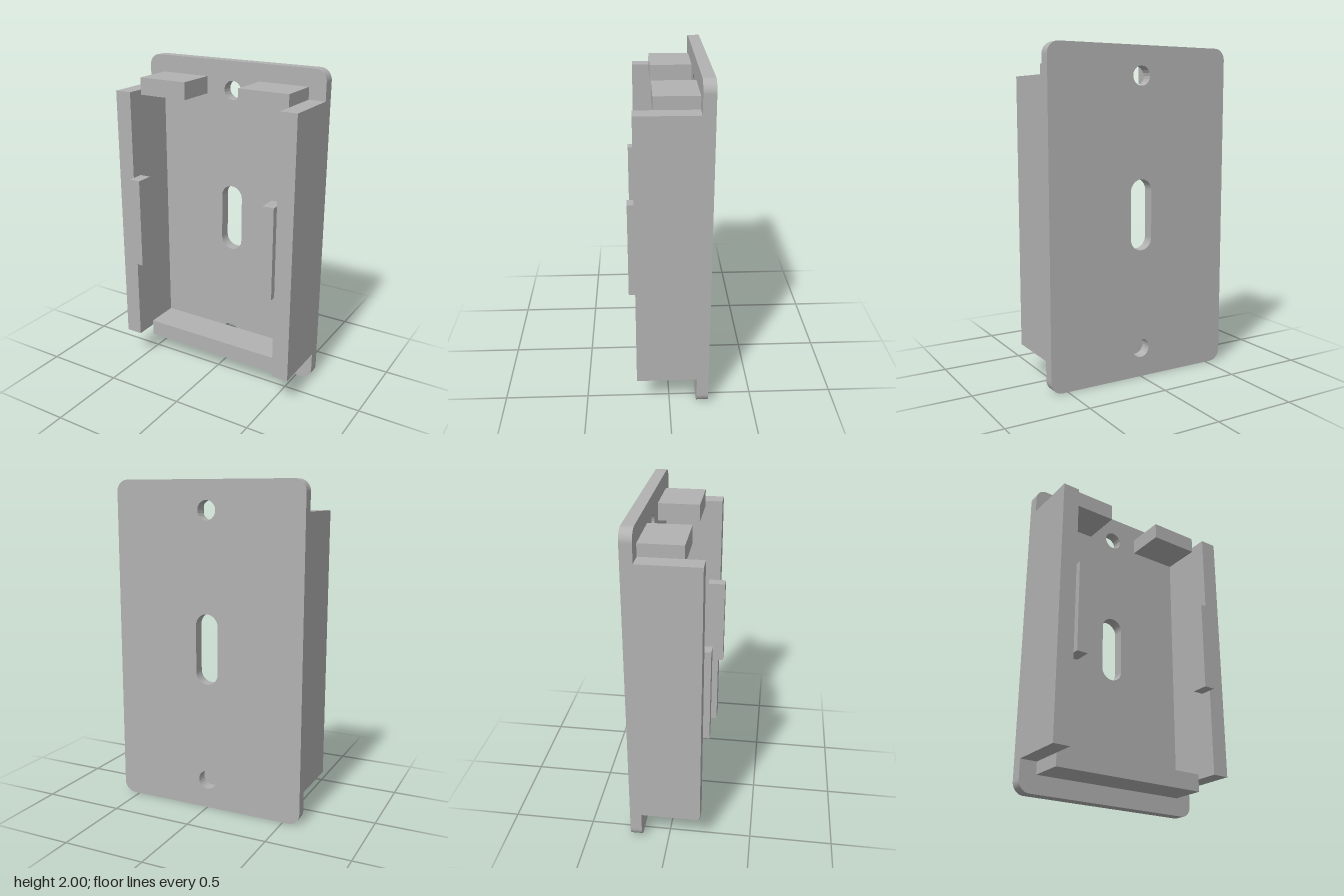
import * as THREE from 'three';

const BACK = -0.233, FACE = -0.163; // back and front of the plate in z
const HALF_W = 0.605, INNER = 0.5;

export function createModel() {
  const group = new THREE.Group();
  group.name = 'wallBracket';
  const grey = new THREE.MeshStandardMaterial({ color: 0xb2b2b2 });
  grey.name = 'grey plastic';

  function add(name, geometry) {
    const mesh = new THREE.Mesh(geometry, grey);
    mesh.name = name;
    group.add(mesh);
  }

  // Box given by its limits on each axis
  function block(name, x0, x1, y0, y1, z0, z1) {
    const g = new THREE.BoxGeometry(x1 - x0, y1 - y0, z1 - z0);
    g.translate((x0 + x1) / 2, (y0 + y1) / 2, (z0 + z1) / 2);
    add(name, g);
  }

  // Rounded outline traced from arcs at the four corners
  function rounded(path, w, y0, y1, r) {
    path.absarc(w - r, y0 + r, r, -Math.PI / 2, 0);
    path.absarc(w - r, y1 - r, r, 0, Math.PI / 2);
    path.absarc(-w + r, y1 - r, r, Math.PI / 2, Math.PI);
    path.absarc(-w + r, y0 + r, r, Math.PI, Math.PI * 1.5);
    path.closePath();
    return path;
  }

  // Back plate with two screw holes and a cable slot
  const plate = rounded(new THREE.Shape(), HALF_W, 0, 2, 0.07);
  for (const y of [0.18, 1.825]) {
    plate.holes.push(new THREE.Path().absarc(0, y, 0.058, 0, Math.PI * 2, true));
  }
  const slot = new THREE.Path();
  slot.absarc(0, 1.147, 0.072, 0, Math.PI);
  slot.absarc(0, 0.862, 0.072, Math.PI, Math.PI * 2);
  slot.closePath();
  plate.holes.push(slot);
  const plateGeometry = new THREE.ExtrudeGeometry(plate, {
    depth: FACE - BACK, bevelEnabled: false, curveSegments: 10,
  });
  plateGeometry.translate(0, 0, BACK);
  add('backPlate', plateGeometry);

  // Mirrored walls, retaining clips and top tabs
  for (const [side, s] of [['left', 1], ['right', -1]]) {
    const pair = (name, a, b, ...rest) =>
      block(side + name, Math.min(s * a, s * b), Math.max(s * a, s * b), ...rest);
    pair('Wall', INNER, HALF_W, 0.185, 1.822, FACE, 0.195);
    pair('Clip', 0.43, INNER, 0.72, 1.288, 0.123, 0.233);
    pair('TopTab', 0.18, INNER, 1.79, 1.895, FACE, 0.088);
  }

  // Bottom ledge
  block('bottomLedge', -INNER, INNER, 0.11, 0.216, FACE, 0.053);

  return group;
}
